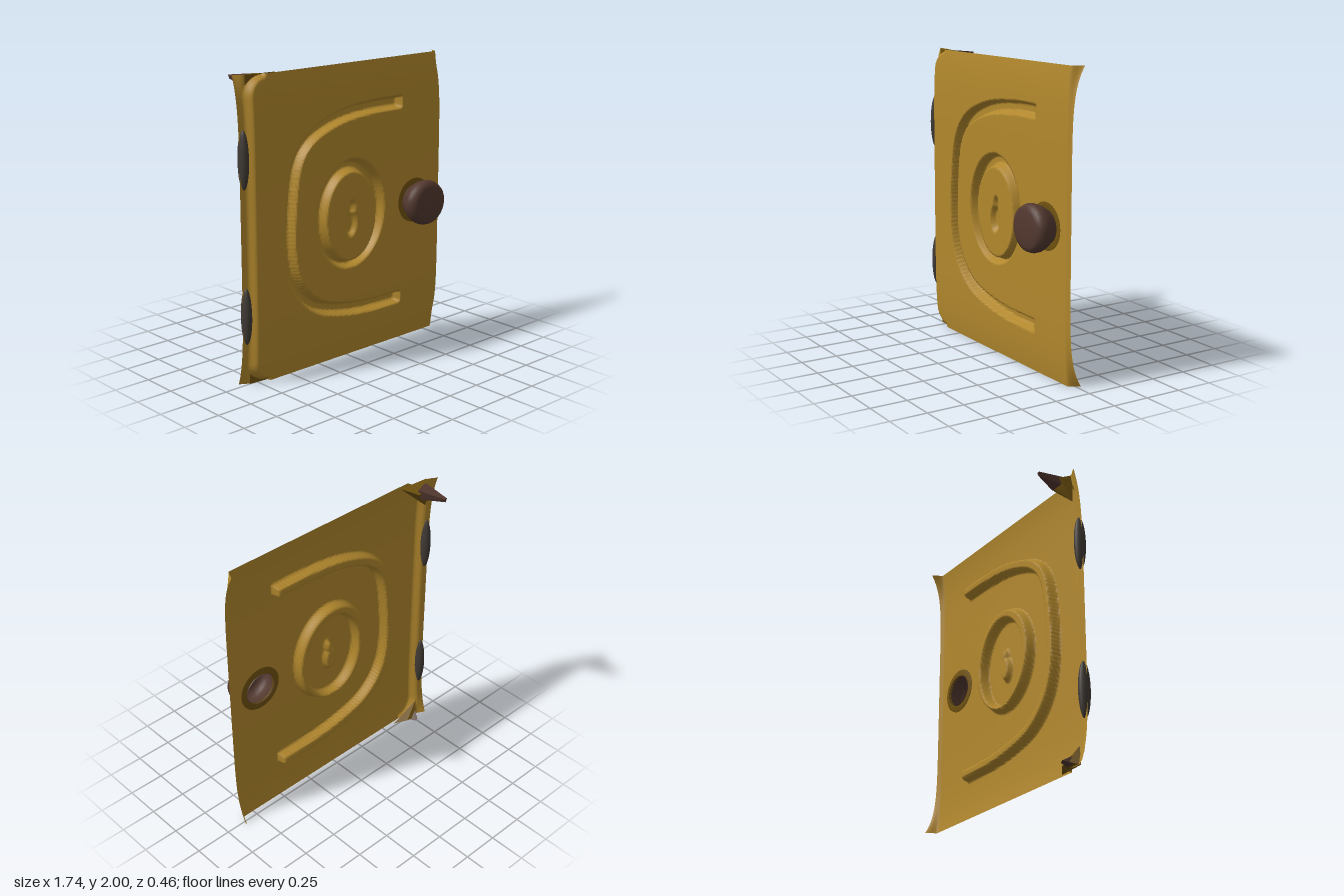
import * as THREE from 'three';
import { ConvexGeometry } from 'three/addons/geometries/ConvexGeometry.js';

const mat = (name, color, double = false) => {
  const m = new THREE.MeshStandardMaterial({ color });
  m.name = name;
  if (double) m.side = THREE.DoubleSide;
  return m;
};
const v2 = (p) => new THREE.Vector2(p[0], p[1]);
const step = (a, b, x) => THREE.MathUtils.smoothstep(x, a, b);

const KNOB = { x: 0.615, y: 0.99 };

// Centre line of the C-shaped groove
const grooveLine = new THREE.SplineCurve([
  [0.56, 1.69], [0.2, 1.69], [-0.08, 1.655], [-0.32, 1.56], [-0.45, 1.4], [-0.5, 1.12], [-0.505, 0.8],
  [-0.44, 0.58], [-0.28, 0.42], [-0.04, 0.345], [0.22, 0.315], [0.56, 0.31],
].map(v2)).getSpacedPoints(110);

// Approximate signed distance to an ellipse, negative inside
function ellipse(x, y, cx, cy, rx, ry) {
  return (Math.hypot((x - cx) / rx, (y - cy) / ry) - 1) * Math.min(rx, ry);
}

// Depth of the sheet at any point: bowed edges, rear flange and pressed grooves
function sheetZ(x, y) {
  const v = Math.abs(y - 1);
  let z = 0.068 - 0.028 * Math.pow(v, 6);

  // right lip, strongest at the corners
  z -= (0.012 + 0.06 * Math.pow(v, 8)) * step(0.825, 0.868, x);

  // flange on the left, with rounded panel corners
  const r = 0.14, qx = -0.81 + r - x, qy = v - (1 - r);
  const d = Math.hypot(Math.max(qx, 0), Math.max(qy, 0)) - r;
  if (x < -0.6) {
    z -= 0.05 * step(-0.03, 0.012, d) * step(-0.6, -0.72, -0.6 - (x + 0.6) - 0.6 + x) || 0;
    if (qx > 0) z -= 0.05 * step(-0.03, 0.012, d);
    z -= 0.03 * Math.pow(v, 6) * step(0, 0.07, -0.8 - x);
  }

  // C-shaped groove with square ends
  let best = 9;
  for (const p of grooveLine) best = Math.min(best, (p.x - x) ** 2 + (p.y - y) ** 2);
  let press = (1 - step(0.026, 0.045, Math.sqrt(best))) * (1 - step(0.475, 0.49, x));

  // oval groove
  const outer = ellipse(x, y, 0.02, 0.997, 0.305, 0.37);
  const inner = ellipse(x, y, 0.025, 0.977, 0.222, 0.302);
  press = Math.max(press, (1 - step(-0.02, 0.002, outer)) * step(-0.002, 0.018, inner));

  // keyhole in the middle
  const key = Math.min(ellipse(x, y, 0.02, 0.93, 0.052, 0.095), ellipse(x, y, 0.03, 1.03, 0.03, 0.06));
  press = Math.max(press, 0.55 * (1 - step(-0.018, 0.002, key)));
  return z - 0.062 * press;
}

function sheetGeometry() {
  const g = new THREE.PlaneGeometry(1.735, 2, 174, 200);
  g.translate(0, 1, 0);
  const p = g.attributes.position;
  for (let i = 0; i < p.count; i++) p.setZ(i, sheetZ(p.getX(i), p.getY(i)));
  // leave an opening behind the knob
  const keep = [], idx = g.index.array;
  for (let i = 0; i < idx.length; i += 3) {
    const a = idx[i];
    if (Math.hypot(p.getX(a) - KNOB.x, p.getY(a) - KNOB.y) > 0.125) keep.push(idx[i], idx[i + 1], idx[i + 2]);
  }
  g.setIndex(keep);
  g.computeVertexNormals();
  return g;
}

export function createModel() {
  const group = new THREE.Group();
  const gold = mat('gold', 0xb2882d, true);
  const darkGold = mat('dark gold', 0x70520f, true);
  const brown = mat('knob brown', 0x52382f, true);
  const grey = mat('hinge grey', 0x403a34);

  const add = (name, geometry, material, x = 0, y = 0, z = 0) => {
    const m = new THREE.Mesh(geometry, material);
    m.name = name;
    m.position.set(x, y, z);
    group.add(m);
    return m;
  };

  add('doorSheet', sheetGeometry(), gold);

  // Hollow knob, open towards the back
  const knob = new THREE.LatheGeometry([
    [0.112, 0.055], [0.122, 0.085], [0.145, 0.115], [0.16, 0.15], [0.162, 0.18],
    [0.15, 0.21], [0.12, 0.224], [0.06, 0.228], [0, 0.228],
  ].map(v2), 28);
  add('knob', knob.rotateX(Math.PI / 2), brown, KNOB.x, KNOB.y).scale.set(1.01, 0.96, 1);

  // Collar around the knob opening
  const collar = new THREE.LatheGeometry([
    [0.11, 0.062], [0.155, 0.062], [0.155, 0.071], [0.11, 0.071], [0.11, 0.062],
  ].map(v2), 32);
  add('knobCollar', collar.rotateX(Math.PI / 2), darkGold, KNOB.x, KNOB.y);

  // Hinges on the model's right edge
  for (const [name, y] of [['upperHinge', 1.48], ['lowerHinge', 0.47]]) {
    add(name, new THREE.SphereGeometry(1, 20, 16), grey, -0.838, y, 0.018).scale.set(0.032, 0.188, 0.042);
  }

  // Torn corner brackets behind the hinge side
  const hull = (name, pts, material) =>
    add(name, new ConvexGeometry(pts.map((p) => new THREE.Vector3(...p))), material);
  hull('upperSpike', [
    [-0.77, 1.99, -0.02], [-0.66, 1.99, -0.06], [-0.77, 1.92, -0.07], [-0.68, 1.92, -0.07],
    [-0.75, 1.97, -0.23], [-0.73, 1.97, -0.23], [-0.74, 1.945, -0.23], [-0.7, 1.97, -0.13],
  ], brown);
  hull('upperGusset', [
    [-0.8, 2, 0.0], [-0.58, 2, 0.02], [-0.8, 1.8, 0.0], [-0.77, 1.97, -0.08],
    [-0.65, 1.97, -0.08], [-0.78, 1.88, -0.04],
  ], darkGold);
  hull('lowerGusset', [
    [-0.81, 0, 0.0], [-0.6, 0, 0.02], [-0.8, 0.12, 0.0], [-0.76, 0.02, -0.05], [-0.68, 0.02, -0.04],
  ], darkGold);
  hull('lowerSpike', [
    [-0.78, 0.01, -0.02], [-0.7, 0.01, -0.02], [-0.77, 0.06, -0.03], [-0.74, 0.03, -0.085], [-0.72, 0.02, -0.08],
  ], brown);

  return group;
}
